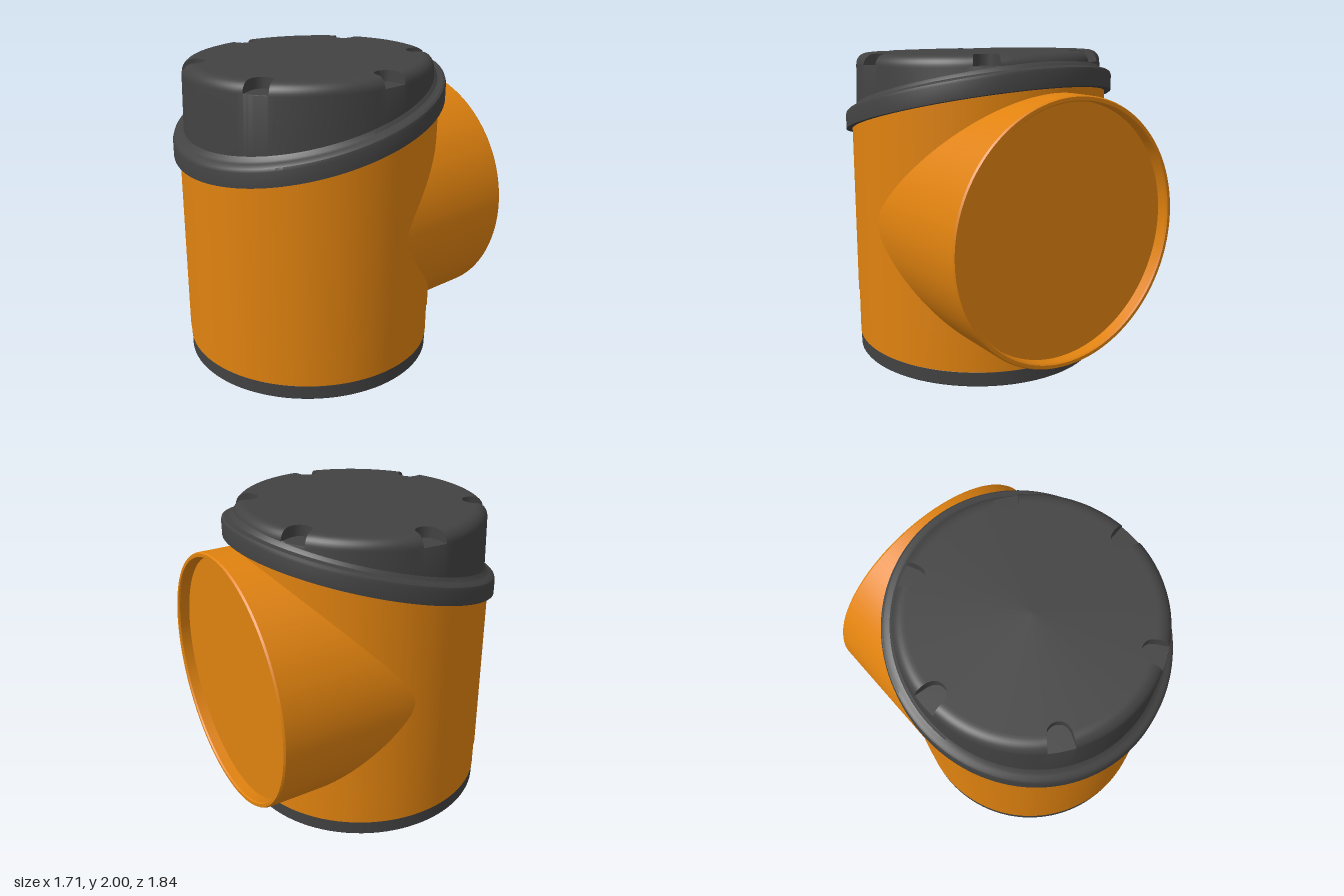
import * as THREE from 'three';
import { toCreasedNormals } from 'three/addons/utils/BufferGeometryUtils.js';

const CZ = 0.0625;          // z of the upright axis
const SLOPE = 0.267;        // tilt of the lid rim
const CREASE = 0.5;
const TAU = Math.PI * 2;

const orange = new THREE.MeshStandardMaterial({ color: 0xe0820f });
const dark = new THREE.MeshStandardMaterial({ color: 0x424242 });

function part(name, geometry, material) {
  const mesh = new THREE.Mesh(toCreasedNormals(geometry, CREASE), material);
  mesh.name = name;
  return mesh;
}

// Skins [radius, height] profiles (top to bottom) placed at successive angles
function sweepAround(stations, profileAt) {
  const rows = stations.map((s) => profileAt(s).map(([r, y]) =>
    new THREE.Vector3(r * Math.sin(s.t), y, CZ + r * Math.cos(s.t))));
  const out = [];
  const tri = new THREE.Triangle();
  const add = (a, b, c) => {
    if (tri.set(a, b, c).getArea() > 1e-9) out.push(...a, ...b, ...c);
  };
  for (let i = 0; i + 1 < rows.length; i++) {
    for (let j = 0; j + 1 < rows[i].length; j++) {
      const a = rows[i][j], b = rows[i + 1][j], c = rows[i][j + 1], d = rows[i + 1][j + 1];
      add(a, c, b);
      add(b, c, d);
    }
  }
  const g = new THREE.BufferGeometry();
  g.setAttribute('position', new THREE.Float32BufferAttribute(out, 3));
  return g;
}

const circle = (n) => Array.from({ length: n + 1 }, (_, i) => ({ t: (i % n) / n * TAU }));
const shear = (r, t) => -SLOPE * r * Math.cos(t);

// Upright body: slanted top edge, faint curved seam near the bottom
function bodyProfile({ t }) {
  const seam = 0.13 + 0.33 * Math.sin(t) ** 2;
  return [[0.818, 1.62 + shear(0.818, t)], [0.818, seam], [0.813, seam], [0.813, 0.115]];
}

// Slanted rim of the lid
function rimProfile({ t }) {
  return [[0.775, 1.75], [0.79, 1.735], [0.803, 1.718], [0.82, 1.711], [0.838, 1.708], [0.851, 1.698],
    [0.857, 1.68], [0.857, 1.589], [0.8, 1.589]].map(([r, y]) => [r, y + shear(r, t)]);
}

// Lid cap: rounded edge with six U-shaped notches open to the outside
const NOTCH_R = 0.07, NOTCH_C = 0.7;
const NOTCH_A = Math.asin(NOTCH_R / NOTCH_C);

function capStations() {
  const list = [];
  const run = (k, from, to, n, notch) => {
    for (let i = 0; i <= n; i++) {
      const phi = from + (to - from) * i / n;
      list.push({ t: Math.PI / 6 + k * Math.PI / 3 + phi, phi, notch });
    }
  };
  for (let k = 0; k < 6; k++) {
    run(k, -Math.PI / 6, -NOTCH_A, 8, false);
    run(k, -NOTCH_A, NOTCH_A, 16, true);
    run(k, NOTCH_A, Math.PI / 6, 8, false);
  }
  return list;
}

function capProfile({ t, phi, notch }) {
  const top = (r) => 1.983 - 0.025 * r * Math.cos(t);
  const p = notch ? phi : NOTCH_A;
  const inside = Math.max(0, NOTCH_R ** 2 - (NOTCH_C * Math.sin(p)) ** 2);
  const rc = NOTCH_C * Math.cos(p) - Math.sqrt(inside);
  const drop = notch ? 0.066 : 0;
  const pts = [[0, top(0)], [rc, top(rc)], [rc, top(rc) - drop]];
  for (let i = 0; i <= 8; i++) {
    const a = i / 8 * Math.PI / 2;
    const r = 0.71 + 0.07 * Math.sin(a);
    pts.push([r, top(r) - Math.max(drop, 0.07 * (1 - Math.cos(a)))]);
  }
  pts.push([0.788, 1.71 + shear(0.788, t)]);
  return pts;
}

// Side pipe: open shallow mouth at the back, inner end trimmed to the body
function pipeGeometry() {
  const pts = [[0.81, 0], [0.81, 0.908], [0.803, 0.92], [0.782, 0.92], [0.775, 0.91], [0.775, 0.845], [0, 0.845]];
  const g = new THREE.LatheGeometry(pts.map(([r, d]) => new THREE.Vector2(r, d)), 128);
  g.rotateX(-Math.PI / 2);
  const pos = g.attributes.position;
  for (let i = 0; i < pos.count; i++) {
    if (pos.getZ(i) > -0.1) {
      pos.setZ(i, CZ + 0.01 - Math.sqrt(0.818 ** 2 - pos.getX(i) ** 2));
    }
  }
  return g.translate(0, 0.97, 0);
}

// Foot ring with a raised disc underneath
function baseGeometry() {
  const pts = [[0, 0], [0.6, 0], [0.606, 0.012], [0.775, 0.012], [0.785, 0.018], [0.805, 0.02],
    [0.81, 0.026], [0.81, 0.112], [0.804, 0.119], [0, 0.119]];
  return new THREE.LatheGeometry(pts.map(([r, y]) => new THREE.Vector2(r, y)), 96).translate(0, 0, CZ);
}

export function createModel() {
  const model = new THREE.Group();
  model.name = 'pipeFitting';
  const lid = new THREE.Group();
  lid.name = 'lid';
  lid.add(
    part('lidCap', sweepAround(capStations(), capProfile), dark),
    part('lidRim', sweepAround(circle(128), rimProfile), dark),
  );
  model.add(
    part('body', sweepAround(circle(128), bodyProfile), orange),
    part('sidePipe', pipeGeometry(), orange),
    part('base', baseGeometry(), dark),
    lid,
  );
  return model;
}
